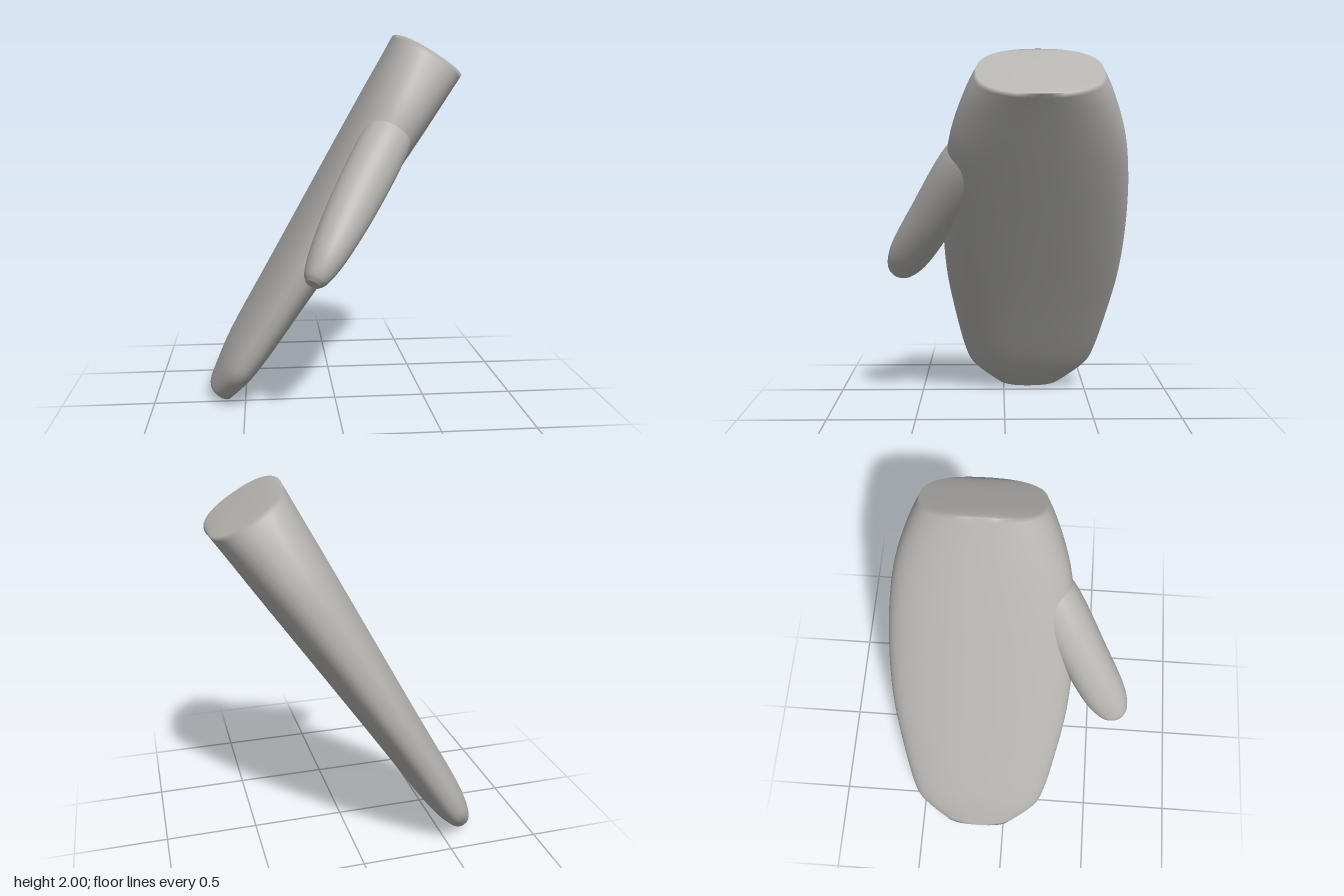
import * as THREE from 'three';

const SIDES = 64, ROWS = 48;

// Smooth closed loft along local y; each station is [y, half thickness (x), half width (z)].
// The cross-section is a superellipse with the given exponent.
function loft(stations, exponent) {
  const curve = new THREE.CatmullRomCurve3(stations.map((s) => new THREE.Vector3(s[1], s[0], s[2])));
  const power = (v) => Math.sign(v) * Math.pow(Math.abs(v), 2 / exponent);
  const position = [], index = [];
  for (let r = 0; r <= ROWS; r++) {
    const p = curve.getPoint(r / ROWS);
    for (let i = 0; i < SIDES; i++) {
      const a = (i / SIDES) * Math.PI * 2;
      position.push(p.x * power(Math.cos(a)), p.y, p.z * power(Math.sin(a)));
    }
  }
  // Walls
  for (let r = 0; r < ROWS; r++) {
    for (let i = 0; i < SIDES; i++) {
      const j = (i + 1) % SIDES, a = r * SIDES, b = a + SIDES;
      index.push(a + i, b + i, a + j, a + j, b + i, b + j);
    }
  }
  // Flat ends, sharing the rim vertices so the shading flows over the edge
  const top = ROWS * SIDES;
  for (let i = 0; i < SIDES / 2; i++) {
    const j = i + 1, k = SIDES - 1 - i, l = (SIDES - i) % SIDES;
    if (j !== k) index.push(i, j, k, top + i, top + k, top + j);
    if (l !== i) index.push(i, k, l, top + i, top + l, top + k);
  }
  const geometry = new THREE.BufferGeometry();
  geometry.setAttribute('position', new THREE.Float32BufferAttribute(position, 3));
  geometry.setIndex(index);
  geometry.computeVertexNormals();
  return geometry;
}

export function createModel() {
  const wool = new THREE.MeshStandardMaterial({ color: 0xb5b4b1 });
  wool.name = 'grey wool';

  // Hand part, from the blunt finger end up to the cuff
  const hand = new THREE.Mesh(loft([
    [0, 0.075, 0.2],
    [0.09, 0.09, 0.285],
    [0.19, 0.104, 0.36],
    [0.31, 0.115, 0.395],
    [0.66, 0.13, 0.45],
    [0.9, 0.141, 0.478],
    [1.13, 0.153, 0.488],
    [1.37, 0.166, 0.484],
    [1.6, 0.179, 0.467],
    [1.84, 0.192, 0.428],
    [2.07, 0.204, 0.35],
    [2.178, 0.211, 0.297],
  ], 2.4), wool);
  hand.name = 'hand';
  hand.position.z = -0.158;

  // Thumb, running from its tip into the side of the hand
  const thumb = new THREE.Mesh(loft([
    [0, 0.036, 0.042],
    [0.025, 0.056, 0.07],
    [0.085, 0.075, 0.097],
    [0.18, 0.093, 0.116],
    [0.47, 0.121, 0.126],
    [0.86, 0.126, 0.128],
    [1.03, 0.095, 0.09],
  ], 2.1), wool);
  thumb.name = 'thumb';
  thumb.position.set(0, 0.905, 0.6);
  thumb.rotation.x = -0.489;

  // Whole mitten leans over towards its left
  const mitten = new THREE.Group();
  mitten.name = 'mitten';
  mitten.add(hand, thumb);
  mitten.rotation.z = -0.556;
  mitten.position.set(-0.635, 0.04, 0);

  const model = new THREE.Group();
  model.add(mitten);
  return model;
}
